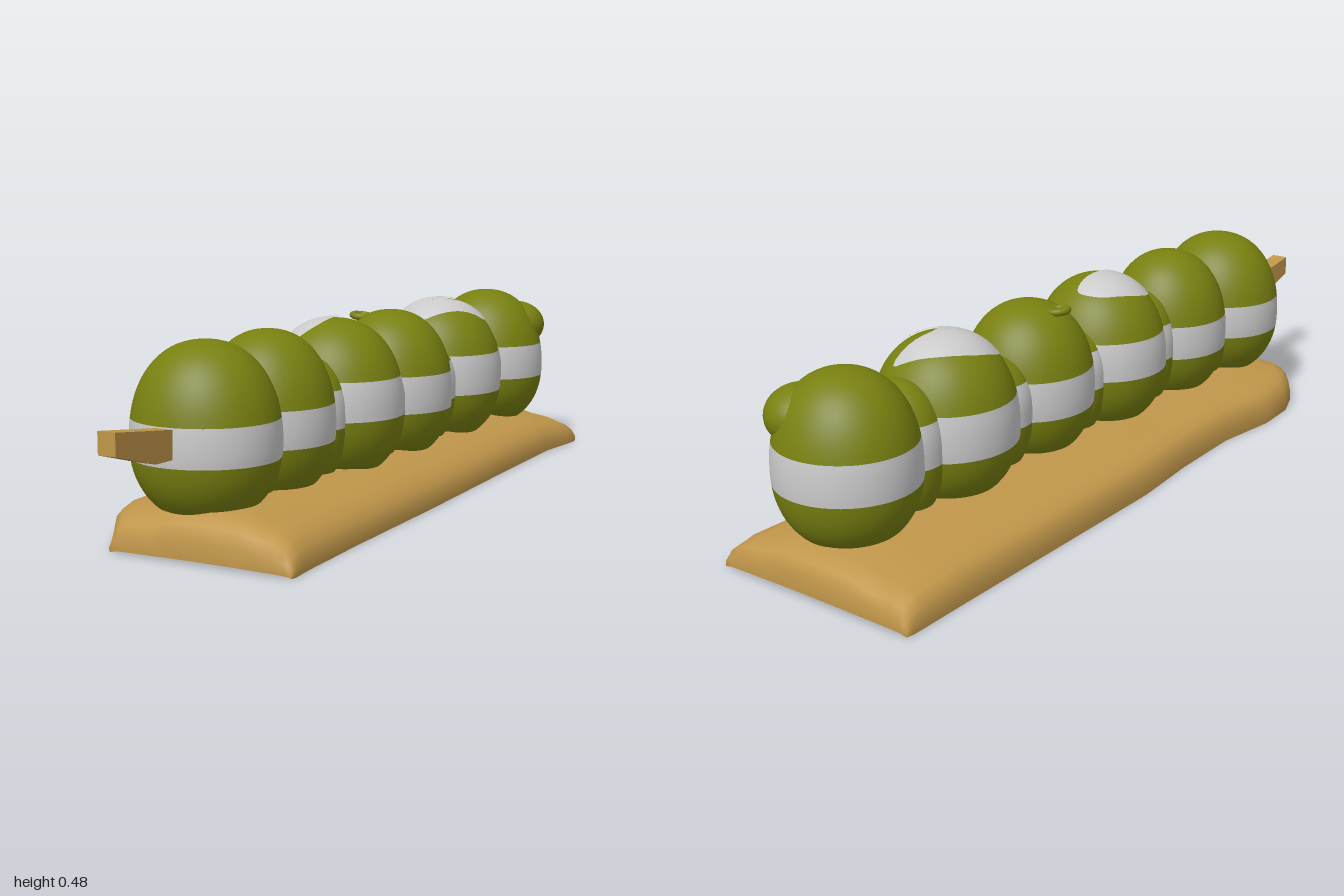
import * as THREE from 'three';

const green = new THREE.MeshStandardMaterial({ name: 'matchaGreen', color: 0x788010 });
const white = new THREE.MeshStandardMaterial({ name: 'creamWhite', color: 0xcacaca });
const tan = new THREE.MeshStandardMaterial({ name: 'woodTan', color: 0xc0964a });

const MID = 0.25, POW = 2.2, LOW = 0.187;

function add(parent, geometry, material, name) {
  const mesh = new THREE.Mesh(geometry, material);
  mesh.name = name;
  parent.add(mesh);
  return mesh;
}

// Superellipse profile point at a given angle (-90..90 degrees) of a dumpling
function profilePoint(b, a) {
  const c = Math.pow(Math.max(0, Math.cos(a)), 2 / POW);
  const s = Math.pow(Math.abs(Math.sin(a)), 2 / POW);
  return new THREE.Vector2(b.rx * c, MID + (a < 0 ? -LOW : b.top - MID) * s);
}

// Angle at which the profile reaches height y
function angleAt(b, y) {
  const t = (y - MID) / (y < MID ? LOW : b.top - MID);
  return Math.sign(t) * Math.asin(Math.pow(Math.min(1, Math.abs(t)), POW / 2));
}

// Upper surface height of a dumpling over (x, z)
function heightAt(b, x, z) {
  const r = Math.min(1, Math.hypot((x - b.x) / b.rx, (z - b.z) / b.rz));
  return MID + (b.top - MID) * Math.pow(1 - Math.pow(r, POW), 1 / POW);
}

// A rounded lump split into green bottom, white belt and green top
function lump(b, name) {
  const group = new THREE.Group();
  group.name = name;
  const stops = [-Math.PI / 2, angleAt(b, b.band[0]), angleAt(b, b.band[1]), Math.PI / 2];
  [['lowerHalf', green], ['belt', white], ['upperHalf', green]].forEach(([part, mat], i) => {
    const pts = [];
    const n = i === 1 ? 8 : 16;
    for (let k = 0; k <= n; k++) pts.push(profilePoint(b, THREE.MathUtils.lerp(stops[i], stops[i + 1], k / n)));
    const geo = new THREE.LatheGeometry(pts, 48);
    geo.scale(1, 1, b.rz / b.rx);
    geo.computeVertexNormals();
    // weld the shading across the lathe seam
    const nrm = geo.attributes.normal, last = 48 * (n + 1);
    for (let k = 0; k <= n; k++) {
      const v = new THREE.Vector3().fromBufferAttribute(nrm, k)
        .add(new THREE.Vector3().fromBufferAttribute(nrm, last + k)).normalize();
      nrm.setXYZ(k, v.x, v.y, v.z);
      nrm.setXYZ(last + k, v.x, v.y, v.z);
    }
    add(group, geo, mat, part);
  });
  group.position.set(b.x, 0, b.z);
  return group;
}

// Thin icing patch lying on a dumpling, outlined by a closed curve in x, z
function icing(b, centre, outline) {
  const curve = new THREE.CatmullRomCurve3(outline.map(([x, z]) => new THREE.Vector3(x, 0, z)), true);
  const n = 60, rings = 10, pos = [], index = [];
  const edge = curve.getPoints(n);
  for (let k = 0; k <= rings; k++) {
    for (let i = 0; i <= n; i++) {
      const x = THREE.MathUtils.lerp(centre[0], edge[i].x, k / rings);
      const z = THREE.MathUtils.lerp(centre[1], edge[i].z, k / rings);
      pos.push(x, heightAt(b, x, z) + 0.004, z);
      if (k < rings && i < n) {
        const a = k * (n + 1) + i, c = a + n + 1;
        index.push(a, c, c + 1, a, c + 1, a + 1);
      }
    }
  }
  const geo = new THREE.BufferGeometry();
  geo.setAttribute('position', new THREE.Float32BufferAttribute(pos, 3));
  geo.setIndex(index);
  geo.computeVertexNormals();
  return geo;
}

// Soft tray lofted along z from one cross-section
function trayGeometry() {
  // z, left edge, right edge, height factor
  const stations = [
    [-1, -0.27, 0.255, 0.05], [-1, -0.283, 0.265, 0.45], [-0.985, -0.286, 0.27, 0.7], [-0.94, -0.286, 0.267, 0.9],
    [-0.8, -0.285, 0.25, 1], [-0.5, -0.285, 0.255, 1], [-0.12, -0.285, 0.265, 1], [0.08, -0.268, 0.27, 1],
    [0.3, -0.262, 0.272, 1], [0.48, -0.287, 0.274, 1], [0.6, -0.28, 0.278, 1], [0.68, -0.25, 0.28, 1],
    [0.73, -0.215, 0.283, 0.95], [0.765, -0.195, 0.286, 0.75], [0.78, -0.19, 0.285, 0.45], [0.78, -0.18, 0.28, 0.05]];
  // position across the tray, height
  const section = [[-1, 0.005], [-1, 0.03], [-0.97, 0.06], [-0.9, 0.08], [-0.78, 0.09], [-0.55, 0.095], [-0.4, 0.11],
    [0, 0.118], [0.4, 0.112], [0.55, 0.1], [0.75, 0.09], [0.88, 0.075], [0.96, 0.055], [1, 0.03], [1, 0.005]];
  const n = section.length, pos = [], index = [];
  for (const [z, l, r, h] of stations)
    for (const [u, y] of section) pos.push((l + r) / 2 + u * (r - l) / 2, 0.003 + (y - 0.005) * h, z);
  for (let s = 0; s < stations.length - 1; s++) {
    for (let i = 0; i < n - 1; i++) {
      const a = s * n + i, b = a + n;
      index.push(a, b, b + 1, a, b + 1, a + 1);
    }
  }
  // flat underside with its own vertices
  const base = pos.length / 3;
  stations.forEach(([z, l, r], s) => {
    pos.push(l, 0.003, z, r, 0.003, z);
    if (s) {
      const a = base + s * 2;
      index.push(a - 2, a - 1, a, a - 1, a + 1, a);
    }
  });
  const geo = new THREE.BufferGeometry();
  geo.setAttribute('position', new THREE.Float32BufferAttribute(pos, 3));
  geo.setIndex(index);
  geo.computeVertexNormals();
  return geo;
}

export function createModel() {
  const model = new THREE.Group();
  model.name = 'dumplingSkewer';

  add(model, trayGeometry(), tan, 'tray');

  // Dumplings from front to back
  const balls = [
    { x: -0.022, z: 0.635, rx: 0.176, rz: 0.166, top: 0.477, band: [0.213, 0.303] },
    { x: -0.008, z: 0.39, rx: 0.163, rz: 0.163, top: 0.477, band: [0.213, 0.303] },
    { x: 0.012, z: 0.095, rx: 0.178, rz: 0.17, top: 0.476, band: [0.235, 0.333] },
    { x: 0.025, z: -0.195, rx: 0.166, rz: 0.168, top: 0.472, band: [0.212, 0.31] },
    { x: 0.022, z: -0.515, rx: 0.176, rz: 0.175, top: 0.476, band: [0.218, 0.328] },
    { x: 0.03, z: -0.835, rx: 0.172, rz: 0.165, top: 0.477, band: [0.222, 0.318] }];
  balls.forEach((b, i) => model.add(lump(b, `dumpling${i + 1}`)));

  // Soft necks joining neighbouring dumplings
  const neckTops = [0.4, 0.4, 0.378, 0.378, 0.405];
  neckTops.forEach((top, i) => {
    const a = balls[i], b = balls[i + 1];
    model.add(lump({
      x: (a.x + b.x) / 2, z: (a.z + b.z) / 2, rx: 0.115, rz: 0.1, top,
      band: [(a.band[0] + b.band[0]) / 2, (a.band[1] + b.band[1]) / 2],
    }, `neck${i + 1}`));
  });

  // Icing patches on the third and fifth dumplings
  add(model, icing(balls[2], [-0.04, 0.1],
    [[-0.1, 0.08], [-0.1, 0.15], [-0.05, 0.2], [0, 0.17], [0.02, 0.1], [0.015, 0], [-0.05, 0.01]]), white, 'smallIcing');
  add(model, icing(balls[4], [0, -0.44],
    [[0.07, -0.635], [-0.03, -0.6], [-0.085, -0.52], [-0.075, -0.43], [0, -0.385], [0.07, -0.42],
      [0.15, -0.54], [0.13, -0.56], [0.055, -0.5], [0.04, -0.53]]), white, 'largeIcing');

  // Small dimple rim on the fourth dumpling
  const rim = add(model, new THREE.TorusGeometry(0.024, 0.009, 10, 24), green, 'dimpleRim');
  rim.rotation.set(-Math.PI / 2, 0.12, 0);
  rim.position.set(-0.05, heightAt(balls[3], -0.05, -0.17) + 0.002, -0.17);

  // Bulge on the shoulder of the last dumpling
  const bulge = add(model, new THREE.SphereGeometry(1, 32, 20), green, 'shoulderBulge');
  bulge.scale.set(0.085, 0.07, 0.085);
  bulge.position.set(0.108, 0.37, -0.885);

  // Bent stick poking out of the front
  const side = new THREE.Shape([[0.6, 0.23], [0.86, 0.235], [1, 0.275], [1, 0.326], [0.8, 0.3], [0.6, 0.28]]
    .map(([z, y]) => new THREE.Vector2(z, y)));
  const stick = new THREE.ExtrudeGeometry(side, { depth: 0.045, bevelEnabled: false });
  stick.rotateY(-Math.PI / 2);
  add(model, stick, tan, 'stick');

  return model;
}
